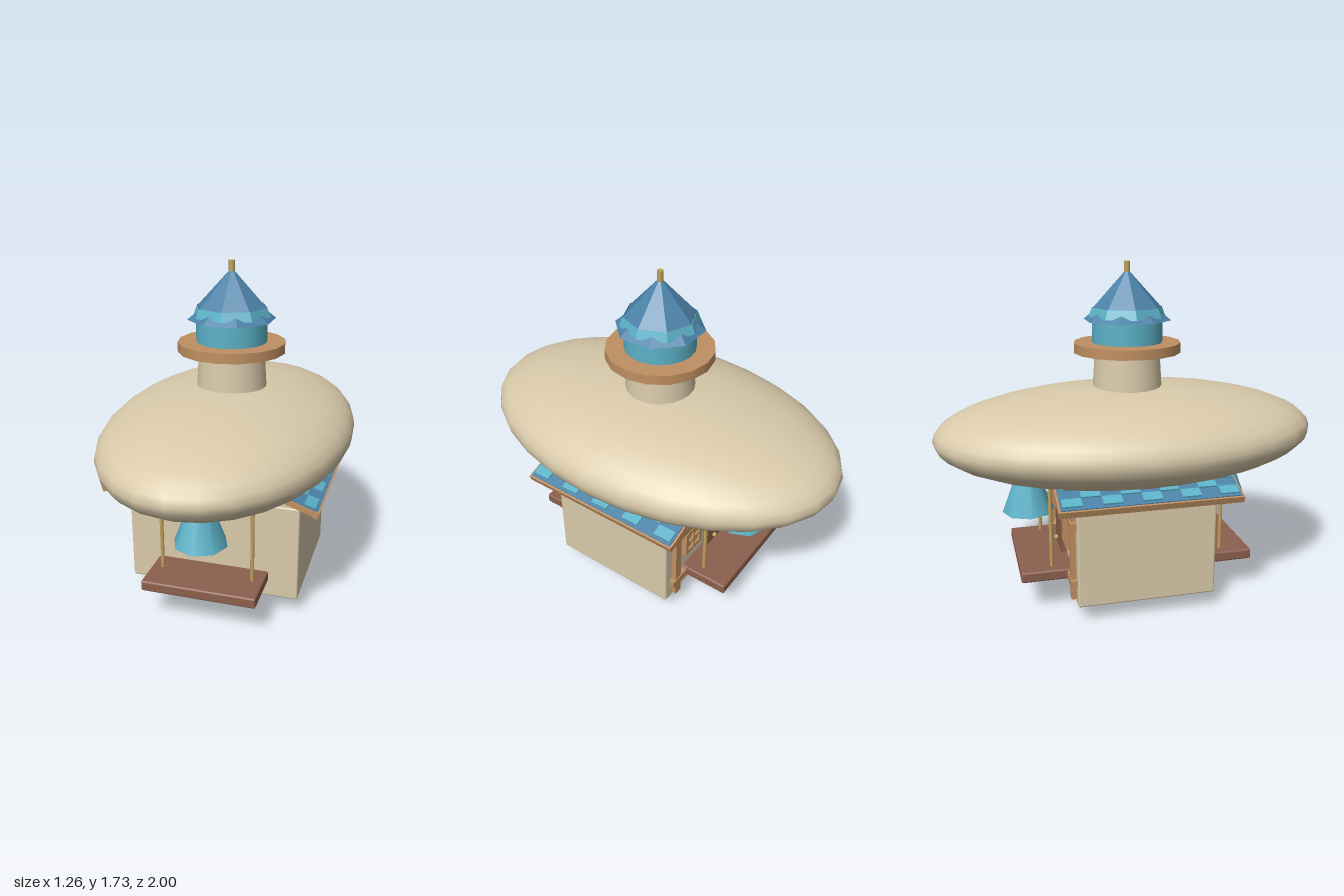
import * as THREE from 'three';
import { RoundedBoxGeometry } from 'three/addons/geometries/RoundedBoxGeometry.js';

const mat = (name, color, extra = {}) => {
  const m = new THREE.MeshStandardMaterial({ color, ...extra });
  m.name = name;
  return m;
};

export function createModel() {
  const plaster = mat('plaster', 0xd9caaa);
  const timber = mat('timber', 0xc09062);
  const wood = mat('brownWood', 0x8c604e);
  const brass = mat('brass', 0xc2a35c);
  const teal = mat('teal', 0x5cb2c8, { side: THREE.DoubleSide });
  const blue = mat('blue', 0x4c82a8, { side: THREE.DoubleSide });
  const facetTeal = teal.clone();
  facetTeal.flatShading = true;
  const facetBlue = blue.clone();
  facetBlue.flatShading = true;

  const model = new THREE.Group();
  model.name = 'airshipHouse';

  const add = (name, geo, material, x = 0, y = 0, z = 0, parent = model) => {
    const m = new THREE.Mesh(geo, material);
    m.name = name;
    m.position.set(x, y, z);
    parent.add(m);
    return m;
  };
  const box = (name, material, w, h, d, x, y, z, parent) =>
    add(name, new THREE.BoxGeometry(w, h, d), material, x, y, z, parent);
  // Cylinder given by its bottom and top heights
  const column = (name, material, rBottom, rTop, y0, y1, sides, x = 0, z = 0, open = false, start = 0) =>
    add(name, new THREE.CylinderGeometry(rTop, rBottom, y1 - y0, sides, 1, open, start), material, x, (y0 + y1) / 2, z);

  // Balloon hull
  add('hull', new THREE.SphereGeometry(1, 28, 20), plaster, 0, 0.857, 0).scale.set(0.632, 0.247, 1);

  // House body with a gabled upper wall
  add('houseBody', new RoundedBoxGeometry(0.89, 0.51, 0.7, 2, 0.01), plaster, 0, 0.345, 0);
  const gable = new THREE.Shape([[-0.44, 0.59], [0.44, 0.59], [0.44, 0.66], [0, 0.81], [-0.44, 0.66]]
    .map(([x, y]) => new THREE.Vector2(x, y)));
  add('gableWall', new THREE.ExtrudeGeometry(gable, { depth: 0.69, bevelEnabled: false }), plaster, 0, 0, -0.345);

  // Two roof slopes; local +x runs up the slope from the eave
  for (const side of [0, Math.PI]) {
    const turn = new THREE.Group();
    turn.name = 'roofSide';
    turn.rotation.y = side;
    const slope = new THREE.Group();
    slope.name = 'roofSlope';
    slope.position.set(-0.54, 0.63, 0);
    slope.rotation.z = 0.337;
    turn.add(slope);
    model.add(turn);
    box('roofPanel', blue, 0.52, 0.018, 0.88, 0.26, 0.012, 0, slope);
    box('eaveTrim', timber, 0.02, 0.034, 0.9, 0, 0, 0, slope);
    for (const z of [-0.44, 0.44]) box('vergeTrim', timber, 0.5, 0.026, 0.022, 0.25, 0.001, z, slope);
    // Checkered tiles
    for (let row = 0; row < 5; row++)
      for (let i = 0; i < 9; i++)
        if ((row + i) % 2 === 0)
          box('roofTile', teal, 0.056, 0.008, 0.094, 0.045 + row * 0.06, 0.025, (i - 4) * 0.096, slope);
  }

  // Bells: one at each end and a larger one underneath
  for (const z of [-0.535, 0.535]) column('endBell', teal, 0.135, 0.055, 0.45, 0.66, 8, 0, z, true);
  column('bottomBell', teal, 0.165, 0.12, 0, 0.13, 8, 0, 0, true);

  // Hanging platforms with ropes
  for (const s of [-1, 1]) {
    add('platform', new RoundedBoxGeometry(0.585, 0.055, 0.27, 2, 0.01), wood, 0, 0.203, s * 0.475);
    for (const x of [-0.235, 0.235]) column('rope', brass, 0.01, 0.01, 0.22, 0.68, 8, x, s * 0.45);
  }

  // Timber framing, door and windows on the rear wall
  const wall = new THREE.Group();
  wall.name = 'rearFacade';
  model.add(wall);
  for (const x of [-0.365, 0.365]) box('post', timber, 0.045, 0.48, 0.03, x, 0.35, -0.36, wall);
  for (const y of [0.2, 0.505]) box('beam', timber, 0.83, 0.04, 0.036, 0, y, -0.362, wall);
  box('door', wood, 0.18, 0.31, 0.04, 0, 0.265, -0.36, wall);
  add('doorKnob', new THREE.SphereGeometry(0.014, 10, 8), brass, 0.03, 0.265, -0.386, wall);
  for (const x of [-0.235, 0.235]) {
    box('windowPane', brass, 0.12, 0.12, 0.02, x, 0.41, -0.36, wall);
    for (const o of [-0.062, 0, 0.062]) {
      const w = o ? 0.02 : 0.012;
      box('windowUpright', timber, w, 0.144, 0.04, x + o, 0.41, -0.364, wall);
      box('windowRail', timber, 0.144, w, 0.038, x, 0.41 + o, -0.364, wall);
    }
  }

  // Tower, balcony and belfry
  column('tower', plaster, 0.182, 0.168, 1.05, 1.26, 20);
  column('balcony', timber, 0.275, 0.275, 1.273, 1.323, 16);
  column('belfry', teal, 0.18, 0.18, 1.32, 1.47, 20);

  // Layered octagonal spire: the two skirts are turned against each other
  column('lowerSkirt', facetBlue, 0.225, 0.172, 1.435, 1.477, 8, 0, 0, true, Math.PI / 8);
  column('upperSkirt', facetTeal, 0.2, 0.182, 1.453, 1.499, 8, 0, 0, true);
  column('spire', facetBlue, 0.178, 0.008, 1.497, 1.68, 8);
  column('finial', brass, 0.016, 0.016, 1.665, 1.725, 8);

  return model;
}
